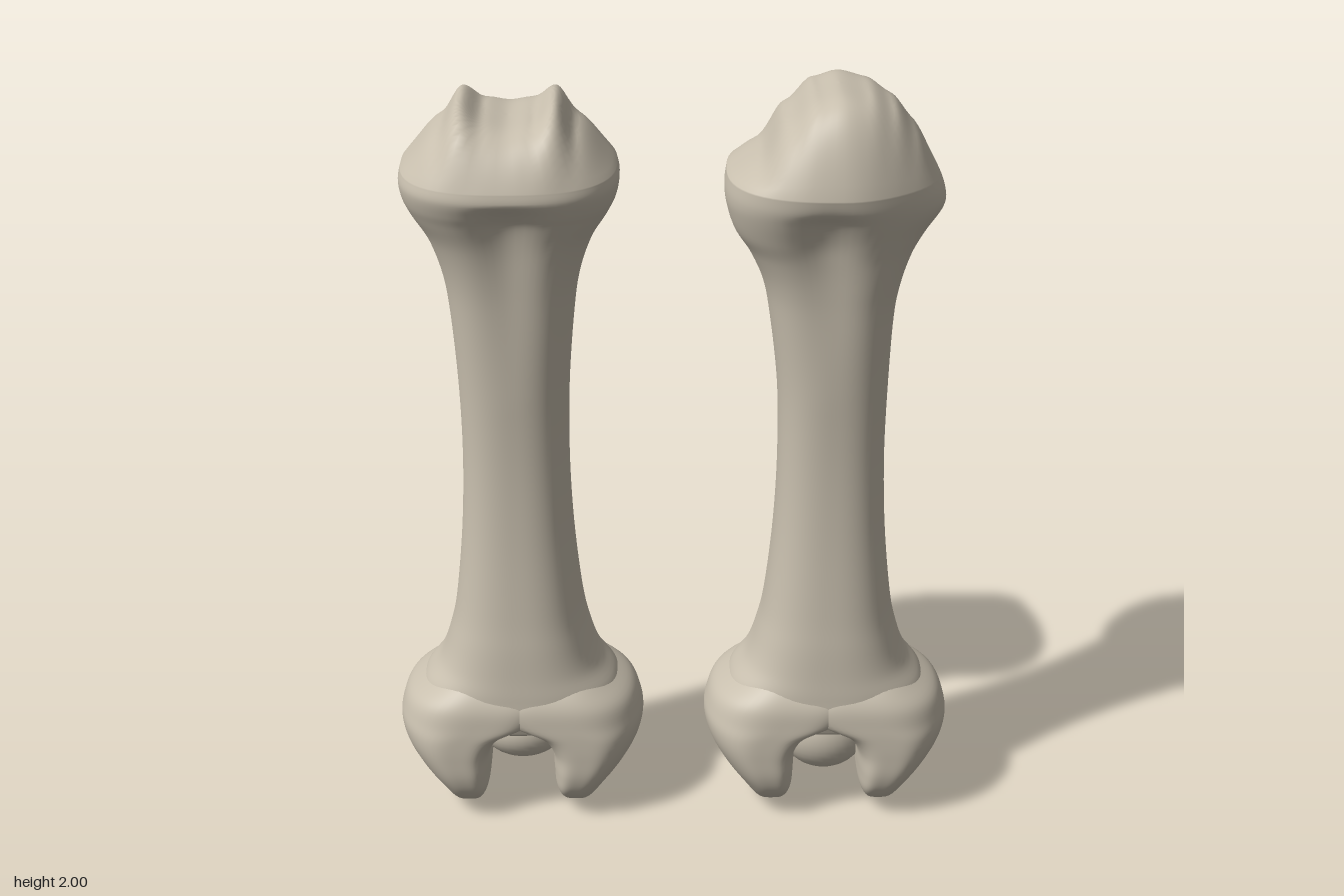
import * as THREE from 'three';

const SEG = 72;

// Catmull-Rom blend of a table of rows; t runs from 0 to 1 over the whole table
function sampleRows(rows, t) {
  const f = t * (rows.length - 1), i = Math.min(Math.floor(f), rows.length - 2), u = f - i;
  const row = (k) => rows[Math.max(0, Math.min(rows.length - 1, k))];
  return rows[i].map((_, c) => {
    const [a, b, d, e] = [row(i - 1)[c], row(i)[c], row(i + 1)[c], row(i + 2)[c]];
    return b + 0.5 * u * (d - a + u * (2 * a - 5 * b + 4 * d - e + u * (3 * (b - d) + e - a)));
  });
}

// Smooth-stepped lookup of a height profile [[x, y], ...]
function lookup(points, x) {
  if (x <= points[0][0]) return points[0][1];
  for (let i = 1; i < points.length; i++) {
    const [x0, y0] = points[i - 1], [x1, y1] = points[i];
    if (x <= x1) return y0 + (y1 - y0) * THREE.MathUtils.smoothstep(x, x0, x1);
  }
  return points[points.length - 1][1];
}

// Unit superellipse point at step j
function superellipse(j, n) {
  const a = (j / SEG) * Math.PI * 2, c = Math.cos(a), s = Math.sin(a);
  const r = Math.pow(Math.abs(c) ** n + Math.abs(s) ** n, -1 / n);
  return [c * r, s * r];
}

// Closed smooth skin over rings of [x, y, z], listed from bottom to top
function loft(rings) {
  const pos = [], index = [], top = (rings.length - 1) * SEG;
  rings.forEach((ring) => ring.forEach((p) => pos.push(...p)));
  for (let i = 0; i < rings.length - 1; i++) {
    for (let j = 0; j < SEG; j++) {
      const a = i * SEG + j, b = i * SEG + ((j + 1) % SEG);
      index.push(a, a + SEG, b, b, a + SEG, b + SEG);
    }
  }
  const centre = (ring) => [0, 1, 2].map((k) => ring.reduce((s, p) => s + p[k], 0) / SEG);
  const low = rings.length * SEG;
  pos.push(...centre(rings[0]), ...centre(rings[rings.length - 1]));
  for (let j = 0; j < SEG; j++) {
    const k = (j + 1) % SEG;
    index.push(low, j, k, low + 1, top + k, top + j);
  }
  const geo = new THREE.BufferGeometry();
  geo.setAttribute('position', new THREE.Float32BufferAttribute(pos, 3));
  geo.setIndex(index);
  geo.computeVertexNormals();
  return geo;
}

// Shaft and head: rows are [y, left width, right width, half depth, hollow depth]
function shaftGeometry({ rows, crown, hollowX, taper }) {
  const rings = [];
  const ringAt = ([y, left, right, depth, hollow]) => Array.from({ length: SEG }, (_, j) => {
    const [c, s] = superellipse(j, 2.6);
    const x = c * (c > 0 ? left : right);
    const dent = 1 - Math.max(0, hollow) * Math.exp(-(((x - hollowX) / 0.075) ** 2));
    const narrow = 1 - taper * THREE.MathUtils.smoothstep(y, 1.5, 1.72) * THREE.MathUtils.smoothstep(x, 0, 0.27);
    return [x, y, s * depth * dent * narrow];
  });
  const steps = 90;
  for (let i = 0; i <= steps; i++) rings.push(ringAt(sampleRows(rows, i / steps)));
  // Crown: the rim shrinks inward while it follows the height profile
  const rim = rings[rings.length - 1];
  const capSteps = 26;
  for (let i = 1; i <= capSteps; i++) {
    const s = 1 - (i / capSteps) * 0.985;
    rings.push(rim.map(([x, y, z]) => {
      const h = lookup(crown, x * s);
      return [x * s, y + (h - y) * (1 - s ** 5), z * s];
    }));
  }
  return loft(rings);
}

// Condyle: rows are [y, inner x, outer x, half depth], outer face bowed in depth
const condyleRows = [
  [0, 0.14, 0.165, 0.02], [0.012, 0.115, 0.19, 0.09], [0.04, 0.1, 0.212, 0.145],
  [0.08, 0.088, 0.24, 0.185], [0.13, 0.085, 0.277, 0.203], [0.19, 0.078, 0.311, 0.206],
  [0.24, 0.04, 0.325, 0.205], [0.28, -0.05, 0.321, 0.202], [0.33, -0.08, 0.3, 0.195],
  [0.37, -0.05, 0.245, 0.175], [0.41, -0.02, 0.18, 0.14],
];
function condyleGeometry(side) {
  const rings = [];
  for (let i = 0; i <= 50; i++) {
    const [y, inner, outer, depth] = sampleRows(condyleRows, i / 50);
    rings.push(Array.from({ length: SEG }, (_, j) => {
      const [c, s] = superellipse(j, 4);
      const t = (1 + c * side) / 2; // 0 on the inner wall, 1 on the outer face
      const z = s * depth;
      return [side * (inner + (outer - inner) * t - 0.05 * t * (z / 0.2) ** 2), y, z];
    }));
  }
  return loft(rings);
}

// Flared lower end and waist shared by both bones
const lowerRows = [
  [0.25, 0.2, 0.2, 0.17, 0], [0.31, 0.26, 0.26, 0.188, 0], [0.36, 0.258, 0.258, 0.187, 0],
  [0.42, 0.214, 0.214, 0.181, 0], [0.5, 0.186, 0.186, 0.174, 0], [0.6, 0.166, 0.166, 0.163, 0],
  [0.8, 0.146, 0.146, 0.147, 0], [1.0, 0.138, 0.138, 0.14, 0], [1.2, 0.141, 0.142, 0.145, 0],
];

const saddleBone = {
  name: 'saddleBone', x: -0.41, hollowX: 0, taper: 0, webBottom: 0.1,
  rows: [
    ...lowerRows,
    [1.4, 0.156, 0.156, 0.16, 0.05], [1.52, 0.173, 0.173, 0.174, 0.09], [1.62, 0.206, 0.206, 0.194, 0.13],
    [1.69, 0.248, 0.248, 0.218, 0.15], [1.73, 0.267, 0.267, 0.236, 0.1], [1.77, 0.274, 0.274, 0.25, 0],
    [1.8, 0.268, 0.268, 0.247, 0],
  ],
  crown: [[-0.27, 1.87], [-0.17, 1.915], [-0.118, 1.972], [-0.06, 1.93], [0, 1.92],
    [0.06, 1.93], [0.118, 1.972], [0.17, 1.915], [0.27, 1.87]],
};

const domeBone = {
  name: 'domeBone', x: 0.405, hollowX: -0.03, taper: 0.22, webBottom: 0.06,
  rows: [
    ...lowerRows,
    [1.4, 0.15, 0.165, 0.16, 0.05], [1.5, 0.166, 0.185, 0.172, 0.08], [1.58, 0.192, 0.22, 0.188, 0.11],
    [1.64, 0.225, 0.258, 0.208, 0.14], [1.7, 0.266, 0.277, 0.232, 0.12], [1.74, 0.266, 0.281, 0.245, 0.03],
    [1.78, 0.25, 0.276, 0.25, 0],
  ],
  crown: [[-0.28, 1.82], [-0.2, 1.84], [-0.13, 1.93], [-0.06, 1.985], [0, 2],
    [0.07, 1.99], [0.13, 1.965], [0.185, 1.93], [0.27, 1.86]],
};

export function createModel() {
  const boneMaterial = new THREE.MeshStandardMaterial({ color: 0xc8bfae });
  boneMaterial.name = 'bone';
  const model = new THREE.Group();
  model.name = 'boneTopCapPair';
  model.name = 'bonePair';

  for (const spec of [saddleBone, domeBone]) {
    const bone = new THREE.Group();
    bone.name = spec.name;
    bone.position.x = spec.x;
    const add = (name, geometry) => {
      const mesh = new THREE.Mesh(geometry, boneMaterial);
      mesh.name = name;
      bone.add(mesh);
      return mesh;
    };
    add('shaftAndHead', shaftGeometry(spec));
    add('leftCondyle', condyleGeometry(1));
    add('rightCondyle', condyleGeometry(-1));
    // Small web of bone inside the notch
    const height = 0.27 - spec.webBottom;
    const web = add('notchWeb', new THREE.SphereGeometry(1, 32, 20));
    web.scale.set(0.115, height / 2, 0.09);
    web.position.y = spec.webBottom + height / 2;
    model.add(bone);
  }
  return model;
}
